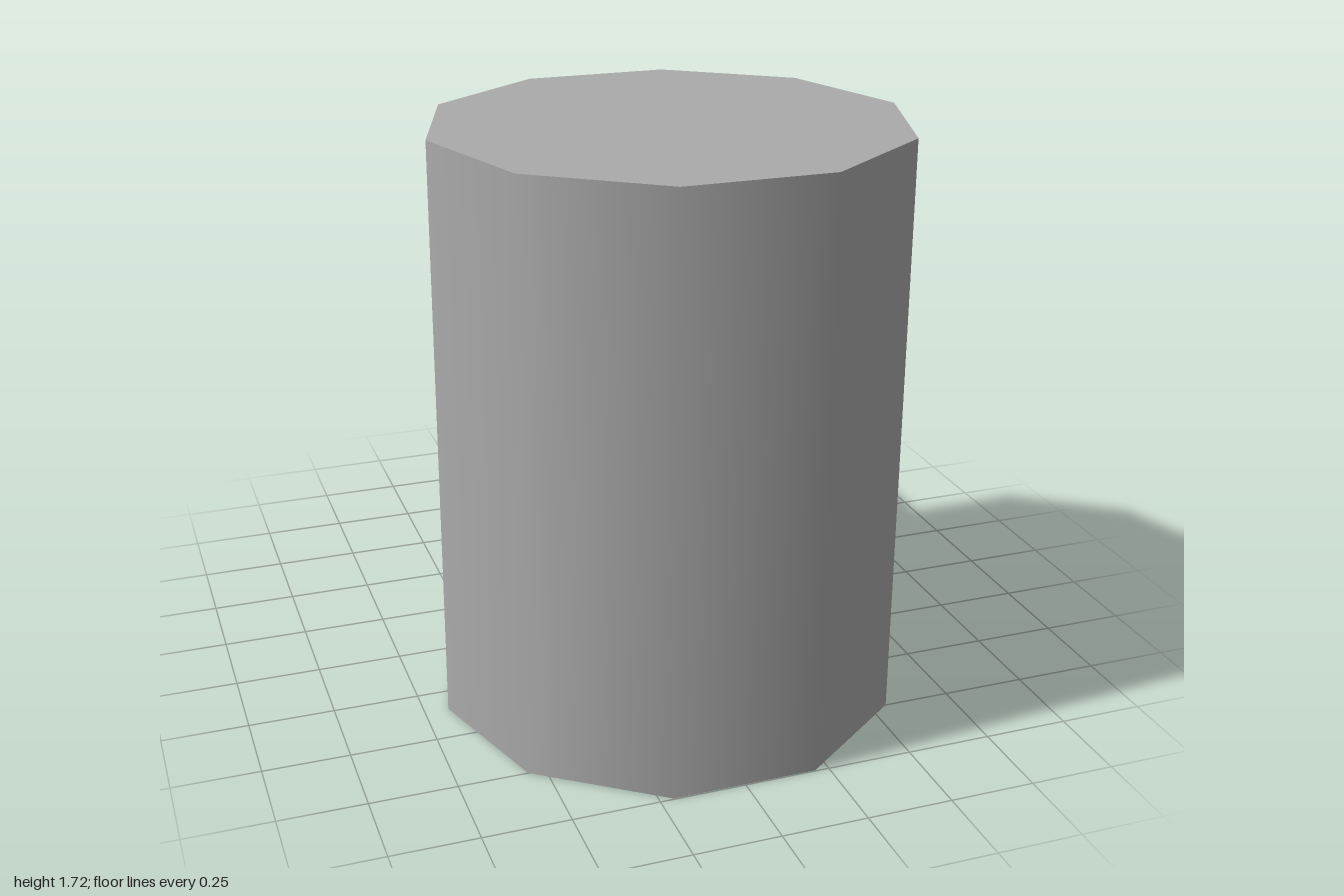
import * as THREE from 'three';

export function createModel() {
  const R = 0.68, SIDES = 10, HEIGHT = 1.715, CAVITY_R = 0.59, CAVITY_H = 0.46;
  const CENTER_Z = 0.35;
  const step = (Math.PI * 2) / SIDES;
  const apothem = R * Math.cos(step / 2), halfSide = R * Math.sin(step / 2);
  const spout = { hw: 0.142, y0: 1.125, y1: 1.335, length: 1 + CENTER_Z - apothem };

  const grey = new THREE.MeshStandardMaterial({ color: 0xaaaaaa, side: THREE.DoubleSide });
  grey.name = 'grey';

  const model = new THREE.Group();
  model.name = 'spoutedCylinder';
  const add = (name, geometry, x = 0, y = 0, z = CENTER_Z) => {
    const mesh = new THREE.Mesh(geometry, grey);
    mesh.name = name;
    mesh.position.set(x, y, z);
    model.add(mesh);
  };

  // Smooth outer wall: every side except the back one
  add('bodyWall', new THREE.CylinderGeometry(R, R, HEIGHT, SIDES - 1, 1, true,
    Math.PI + step / 2, step * (SIDES - 1)), 0, HEIGHT / 2);

  // Back side with the opening of the spout
  const panel = new THREE.Shape([[-halfSide, 0], [halfSide, 0], [halfSide, HEIGHT], [-halfSide, HEIGHT]]
    .map(([x, y]) => new THREE.Vector2(x, y)));
  panel.holes.push(new THREE.Path([[-spout.hw, spout.y0], [-spout.hw, spout.y1],
    [spout.hw, spout.y1], [spout.hw, spout.y0]].map(([x, y]) => new THREE.Vector2(x, y))));
  const back = new THREE.ShapeGeometry(panel);
  back.rotateY(Math.PI).translate(0, 0, -apothem);
  const pos = back.attributes.position;
  const n = new THREE.Vector3();
  for (let i = 0; i < pos.count; i++) {
    // radial normals blend the panel into the wall
    n.set(pos.getX(i), 0, -apothem).normalize();
    back.attributes.normal.setXYZ(i, n.x, n.y, n.z);
  }
  add('backWall', back);

  // Lid, bottom rim and the recess underneath
  add('lid', new THREE.CircleGeometry(R, SIDES).rotateX(-Math.PI / 2), 0, HEIGHT);
  add('bottomRim', new THREE.RingGeometry(CAVITY_R, R, SIDES).rotateX(Math.PI / 2));
  add('cavityWall', new THREE.CylinderGeometry(CAVITY_R, CAVITY_R, CAVITY_H, SIDES, 1, true, step / 2),
    0, CAVITY_H / 2);
  add('cavityCeiling', new THREE.CircleGeometry(CAVITY_R, SIDES).rotateX(Math.PI / 2), 0, CAVITY_H);

  // Square spout, open at both ends: keep only the four side faces
  const tube = new THREE.BoxGeometry(spout.hw * 2, spout.y1 - spout.y0, spout.length);
  tube.setIndex(Array.from(tube.index.array.slice(0, 24)));
  tube.clearGroups();
  add('spout', tube, 0, (spout.y0 + spout.y1) / 2, -1 + spout.length / 2);

  return model;
}
